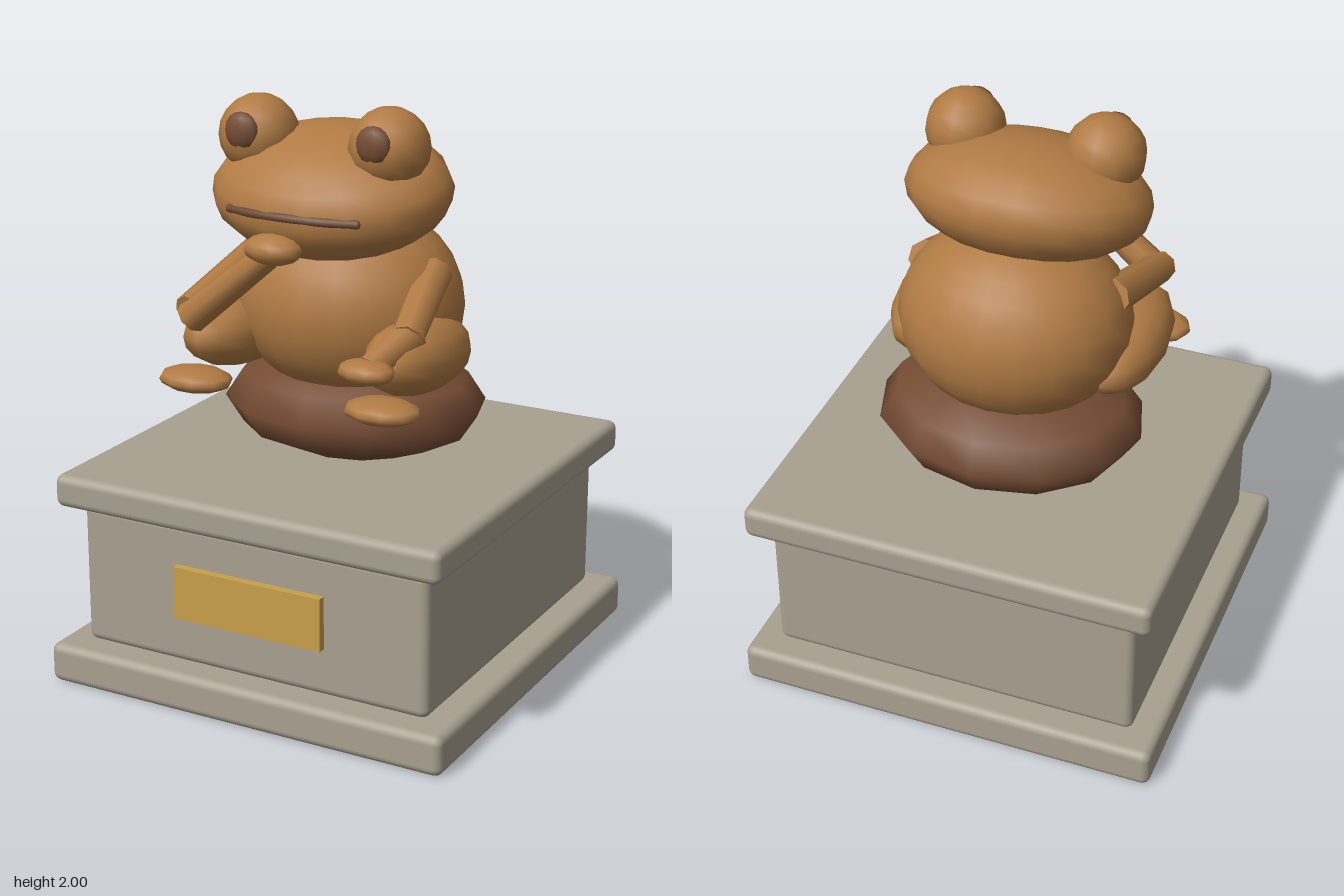
import * as THREE from 'three';
import { RoundedBoxGeometry } from 'three/addons/geometries/RoundedBoxGeometry.js';

const material = (name, color) => {
  const m = new THREE.MeshStandardMaterial({ color });
  m.name = name;
  return m;
};

export function createModel() {
  const model = new THREE.Group();
  model.name = 'seatedFrogStatue';
  const stone = material('stone', 0xa8a090);
  const bronze = material('bronze', 0xb07a44);
  const darkBronze = material('dark bronze', 0x754c34);
  const gold = material('gold', 0xc9a04c);

  const add = (name, geometry, mat, position) => {
    const mesh = new THREE.Mesh(geometry, mat);
    mesh.name = name;
    if (position) mesh.position.set(...position);
    model.add(mesh);
    return mesh;
  };
  // Sphere stretched to the given radii
  const blob = (name, mat, position, radii, w = 12, h = 8) =>
    add(name, new THREE.SphereGeometry(1, w, h).scale(...radii), mat, position);
  // Flat-ended tapered cylinder between two points
  const limb = (name, from, to, r0, r1) => {
    const a = new THREE.Vector3(...from), b = new THREE.Vector3(...to);
    const dir = b.clone().sub(a);
    const mesh = add(name, new THREE.CylinderGeometry(r1, r0, dir.length(), 8), bronze);
    mesh.position.copy(a).add(b).multiplyScalar(0.5);
    mesh.quaternion.setFromUnitVectors(new THREE.Vector3(0, 1, 0), dir.normalize());
  };
  // Square slab with rounded edges
  const slab = (name, half, y0, y1) =>
    add(name, new RoundedBoxGeometry(half * 2, y1 - y0, half * 2, 3, 0.03), stone, [0, (y0 + y1) / 2, 0]);

  // Pedestal
  slab('pedestalBase', 0.75, 0, 0.14);
  slab('pedestalBlock', 0.655, 0.14, 0.64);
  slab('pedestalCap', 0.725, 0.64, 0.755);
  add('plaque', new THREE.BoxGeometry(0.56, 0.185, 0.04), gold, [0, 0.4025, 0.663]);

  // Rounded rock seat
  blob('rockSeat', darkBronze, [0, 0.92, -0.07], [0.47, 0.19, 0.4], 12, 6);

  // Body and head
  blob('body', bronze, [0, 1.29, -0.03], [0.405, 0.34, 0.355], 20, 14);
  blob('head', bronze, [0, 1.695, 0.092], [0.425, 0.207, 0.333], 18, 12).rotation.x = 0.25;

  // Mouth line following the front of the head
  const mouthPath = new THREE.CatmullRomCurve3([
    [-0.24, 1.655, 0.357], [-0.12, 1.658, 0.398], [0, 1.66, 0.41], [0.12, 1.658, 0.398], [0.24, 1.655, 0.357],
  ].map((p) => new THREE.Vector3(...p)));
  add('mouth', new THREE.TubeGeometry(mouthPath, 16, 0.015, 6), darkBronze);
  for (const s of [-1, 1]) blob('mouthCorner', darkBronze, [s * 0.236, 1.655, 0.357], [0.015, 0.015, 0.015], 6, 4);

  // Eyes, thighs and feet on both sides
  for (const s of [-1, 1]) {
    const side = s > 0 ? 'left' : 'right';
    blob(side + 'Eye', bronze, [s * 0.245, 1.865, 0.15], [0.136, 0.136, 0.136], 12, 10);
    blob(side + 'Pupil', darkBronze, [s * 0.245, 1.893, 0.262], [0.064, 0.064, 0.032], 10, 8);
    blob(side + 'Thigh', bronze, [s * 0.345, 1.178, 0.13], [0.145, 0.128, 0.285], 12, 10).rotation.x = -0.06;
    blob(side + 'Foot', bronze, [s * 0.355, 1.062, 0.4], [0.135, 0.042, 0.1], 10, 8);
  }

  // Right arm, propping up the chin
  limb('rightUpperArm', [-0.33, 1.425, -0.01], [-0.37, 1.3, 0.41], 0.064, 0.055);
  limb('rightForearm', [-0.37, 1.275, 0.4], [-0.06, 1.53, 0.405], 0.058, 0.046);
  blob('rightHand', bronze, [-0.045, 1.55, 0.405], [0.105, 0.052, 0.075], 10, 8);

  // Left arm, resting on the knee
  limb('leftUpperArm', [0.33, 1.425, -0.01], [0.385, 1.28, 0.29], 0.064, 0.055);
  limb('leftForearm', [0.385, 1.29, 0.25], [0.325, 1.21, 0.44], 0.058, 0.046);
  blob('leftHand', bronze, [0.325, 1.205, 0.455], [0.1, 0.042, 0.07], 10, 8);

  return model;
}
